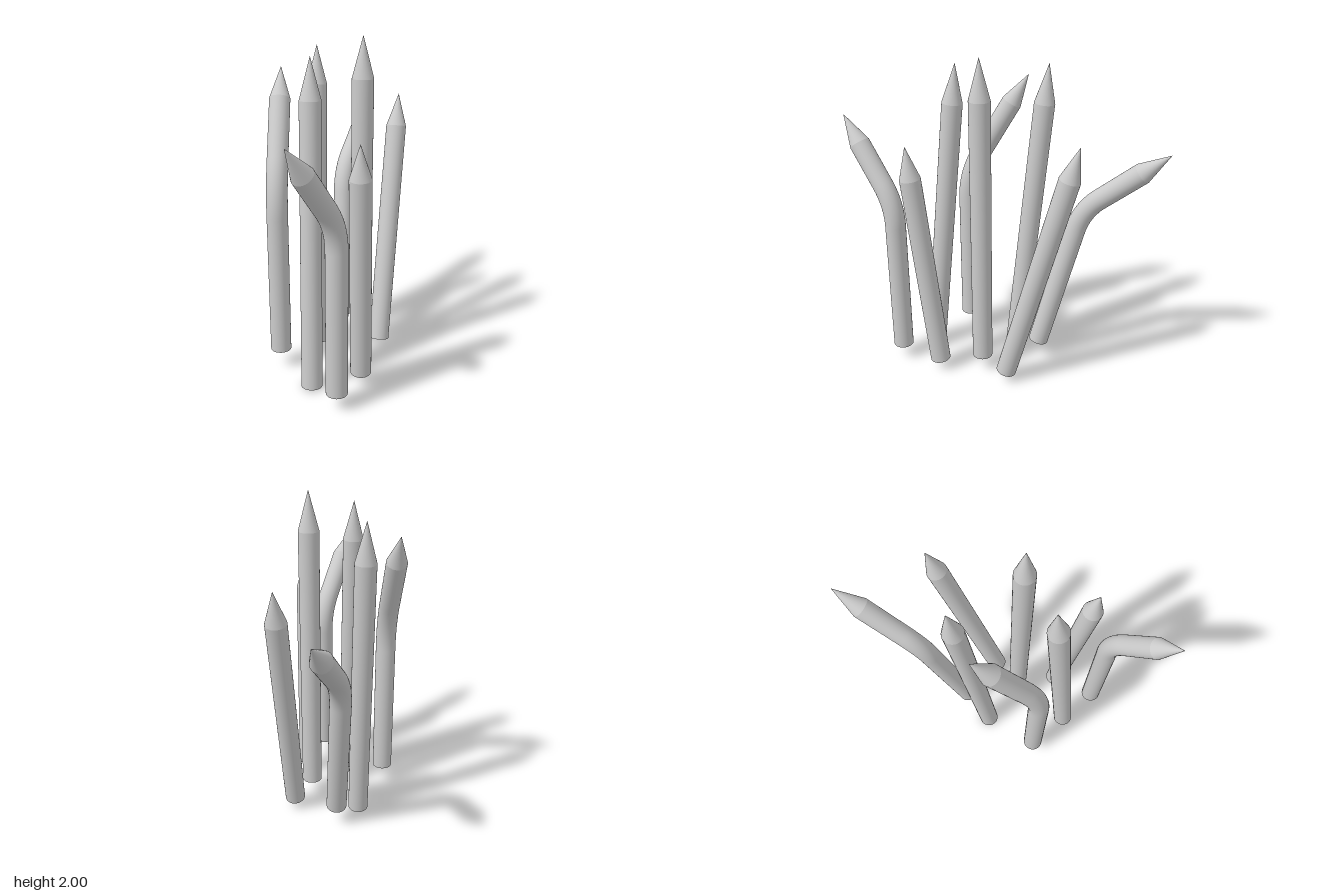
import * as THREE from 'three';

const RADIUS = 0.062;
const SIDES = 32;
const material = new THREE.MeshStandardMaterial({ color: 0xcccccc });

// base centre, tip, length of the pointed end, optional corner and size of the bend
const STAKES = [
  { base: [-0.35, 0.12, 0.21], tip: [-0.35, 1.79, -0.165], point: 0.2, corner: [-0.35, 1.15, 0.21], bend: 0.17 },
  { base: [-0.145, 0.006, 0.437], tip: [-0.145, 1.905, 0.263], point: 0.235 },
  { base: [-0.145, 0.006, -0.098], tip: [-0.145, 1.905, -0.274], point: 0.235 },
  { base: [0.135, 0.1, 0.115], tip: [0.135, 2, 0.115], point: 0.235 },
  { base: [0.142, 0.075, 0.384], tip: [0.128, 1.5, 0.536], point: 0.195 },
  { base: [0.256, 0.065, -0.036], tip: [0.36, 1.585, -0.42], point: 0.2 },
  { base: [0.01, 0.095, 0.637], tip: [-0.215, 1.58, 0.94], point: 0.2, corner: [0.01, 1.09, 0.637], bend: 0.14 },
  { base: [0.01, 0.128, -0.245], tip: [0.2, 1.48, -0.94], point: 0.2, corner: [0.01, 1.06, -0.483], bend: 0.14 },
];

function addPart(group, name, geometry, position, from, direction) {
  const mesh = new THREE.Mesh(geometry, material);
  mesh.name = name;
  mesh.position.copy(position);
  if (direction) mesh.quaternion.setFromUnitVectors(from, direction);
  group.add(mesh);
}

function makeStake(spec) {
  const group = new THREE.Group();
  const base = new THREE.Vector3(...spec.base);
  const tip = new THREE.Vector3(...spec.tip);
  const corner = spec.corner ? new THREE.Vector3(...spec.corner) : base;
  const tipDir = tip.clone().sub(corner).normalize();
  const baseDir = spec.corner ? corner.clone().sub(base).normalize() : tipDir;
  const shoulder = tip.clone().addScaledVector(tipDir, -spec.point);

  // shaft, straight or rounded at its corner
  let path = new THREE.LineCurve3(base, shoulder);
  if (spec.corner) {
    const start = corner.clone().addScaledVector(baseDir, -spec.bend);
    const end = corner.clone().addScaledVector(tipDir, spec.bend);
    path = new THREE.CurvePath();
    path.add(new THREE.LineCurve3(base, start));
    path.add(new THREE.QuadraticBezierCurve3(start, corner, end));
    path.add(new THREE.LineCurve3(end, shoulder));
  }
  const shaft = new THREE.TubeGeometry(path, spec.corner ? 64 : 1, RADIUS, SIDES, false);
  addPart(group, 'shaft', shaft, new THREE.Vector3());

  // sharpened end
  const cone = new THREE.ConeGeometry(RADIUS, spec.point, SIDES, 1, true);
  cone.translate(0, spec.point / 2, 0);
  addPart(group, 'point', cone, shoulder, new THREE.Vector3(0, 1, 0), tipDir);

  // flat foot
  addPart(group, 'foot', new THREE.CircleGeometry(RADIUS, SIDES), base,
    new THREE.Vector3(0, 0, 1), baseDir.clone().negate());
  return group;
}

export function createModel() {
  const model = new THREE.Group();
  model.name = 'stakes';
  STAKES.forEach((spec, i) => {
    const stake = makeStake(spec);
    stake.name = (spec.corner ? 'bentStake' : 'straightStake') + (i + 1);
    model.add(stake);
  });
  return model;
}
